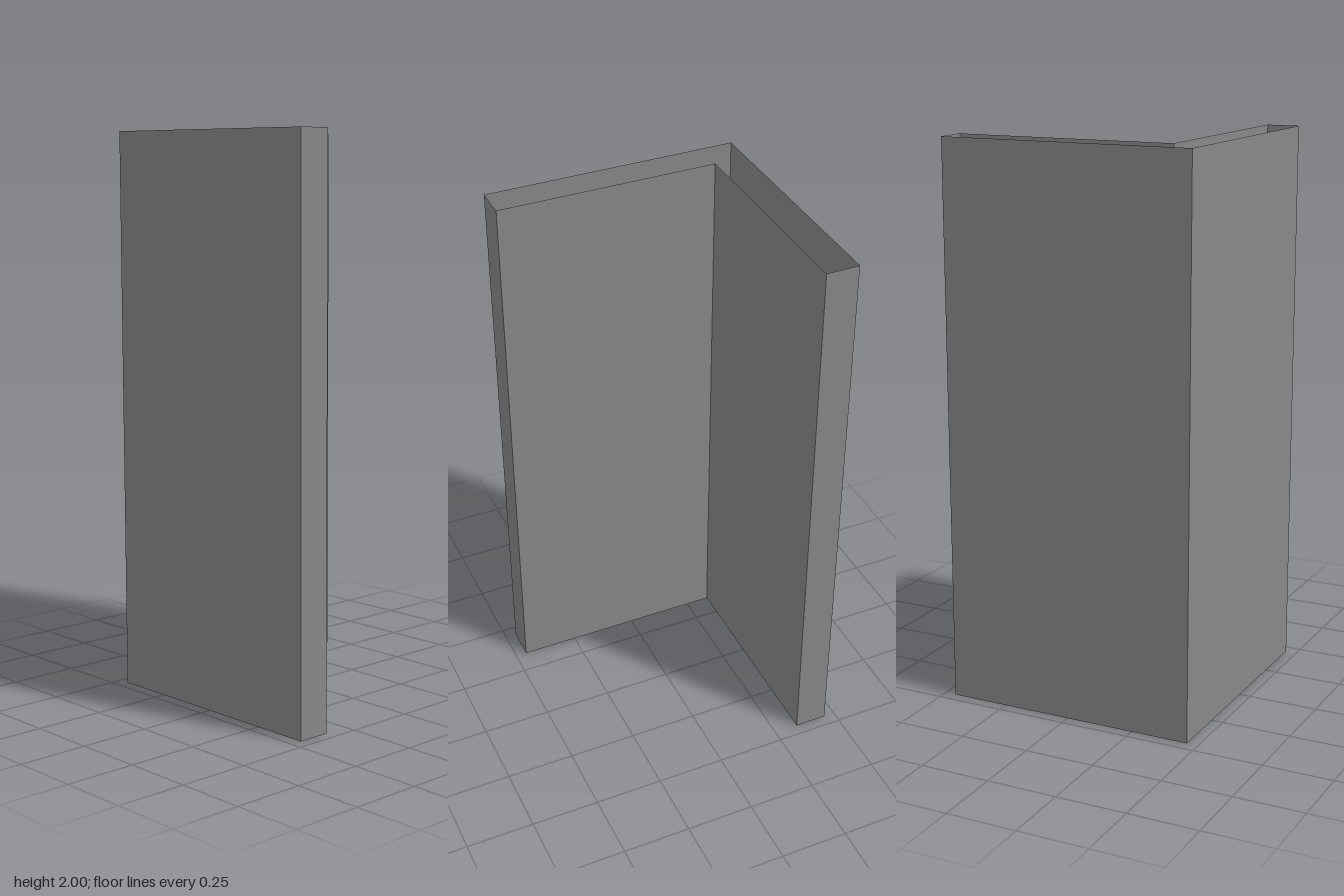
import * as THREE from 'three';

const HEIGHT = 2;
const OUT = 0.459; // outer half width
const IN = 0.34; // inner face of each leg

// L-shaped floor outline as [x, z], walked so every wall faces outward
const OUTLINE = [
  [-OUT, OUT],
  [OUT, OUT],
  [OUT, IN],
  [-IN, IN],
  [-IN, -OUT],
  [-OUT, -OUT],
];
const NAMES = ['frontWall', 'frontLegEnd', 'innerBackWall', 'innerSideWall', 'backLegEnd', 'outerSideWall'];

export function createModel() {
  const group = new THREE.Group();
  group.name = 'cornerShell';
  const material = new THREE.MeshStandardMaterial({
    color: 0x888888,
    flatShading: true,
    side: THREE.DoubleSide,
  });

  // One thin upright panel per outline edge; the top and bottom stay open
  OUTLINE.forEach(([x0, z0], i) => {
    const [x1, z1] = OUTLINE[(i + 1) % OUTLINE.length];
    const dx = x1 - x0;
    const dz = z1 - z0;
    const wall = new THREE.Mesh(new THREE.PlaneGeometry(Math.hypot(dx, dz), HEIGHT), material);
    wall.name = NAMES[i];
    wall.position.set((x0 + x1) / 2, HEIGHT / 2, (z0 + z1) / 2);
    wall.rotation.y = Math.atan2(-dz, dx);
    group.add(wall);
  });
  return group;
}
